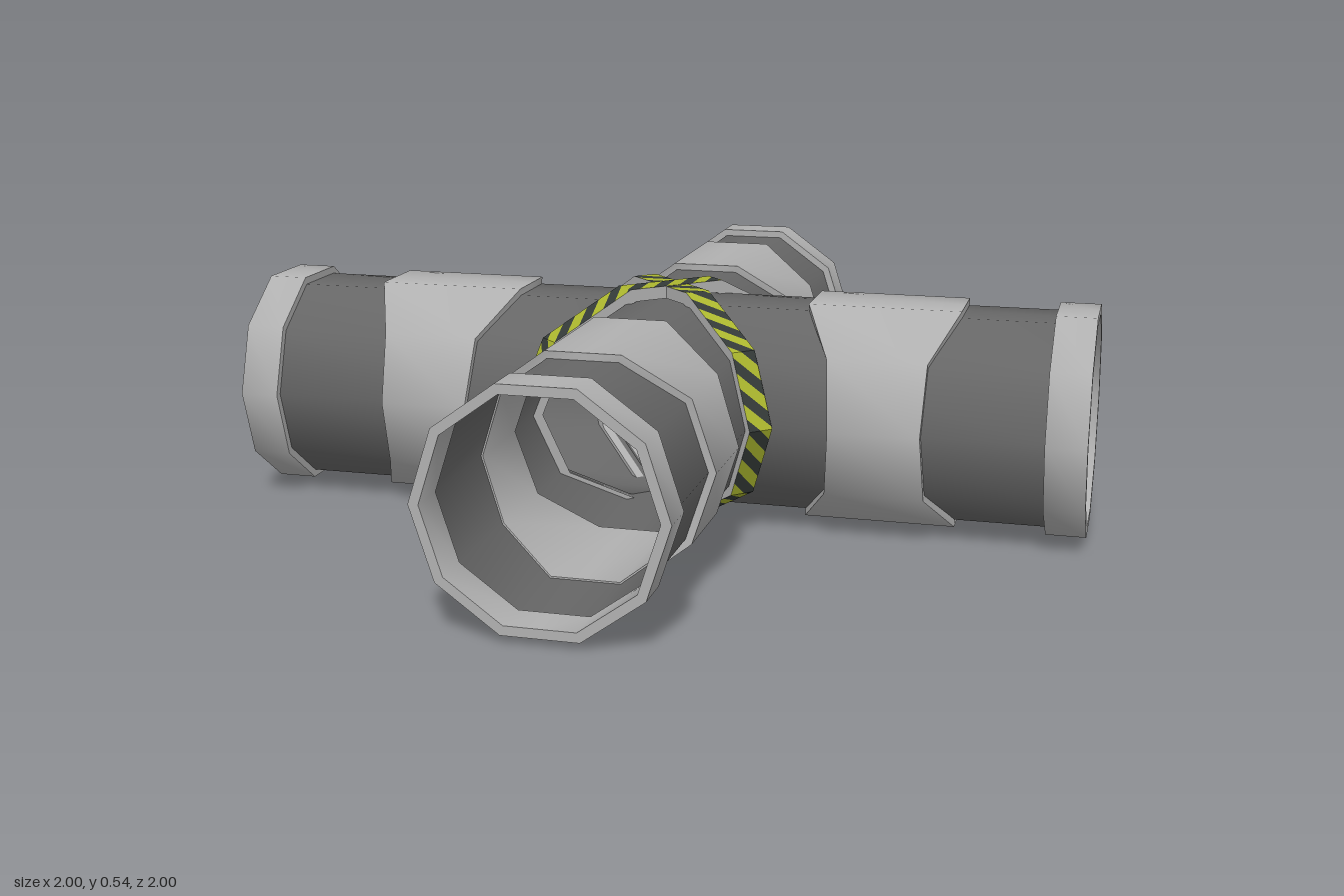
import * as THREE from 'three';
import { mergeGeometries } from 'three/addons/utils/BufferGeometryUtils.js';

const CENTER = 0.27; // height of the pipe axis
const TUBE_R = 0.25;
const BAND_R = 0.284;
const BAND_HALF = 0.03;

// Decagon angles, plus the middle of the flat top and bottom
const ANGLES = [];
for (let i = 0; i < 10; i++) {
  ANGLES.push(i * 36);
  if (i === 2 || i === 7) ANGLES.push(i * 36 + 18);
}

// Point of a ten-sided outline at an angle in degrees
function outline(deg, r) {
  const a = THREE.MathUtils.degToRad(deg);
  const scale = deg % 36 ? Math.cos(Math.PI / 10) : 1;
  return [Math.cos(a) * r * scale, Math.sin(a) * r * scale];
}

const loop = (r, zAt) => ANGLES.map((deg) => {
  const [x, y] = outline(deg, r);
  return new THREE.Vector3(x, y, zAt(deg, x));
});

// Closed strip of faces between two loops, smooth around
function strip(a, b) {
  const n = a.length;
  const index = [];
  for (let i = 0; i < n; i++) {
    const j = (i + 1) % n;
    index.push(i, j, n + j, i, n + j, n + i);
  }
  const geo = new THREE.BufferGeometry().setFromPoints([...a, ...b]);
  geo.setIndex(index);
  geo.computeVertexNormals();
  return geo;
}

// Thick ring from four loops: outer, far end, inner, near end
function thickRing(rIn, rOut, near, far) {
  const on = loop(rOut, near), of = loop(rOut, far);
  const inn = loop(rIn, near), inf = loop(rIn, far);
  return mergeGeometries([strip(on, of), strip(of, inf), strip(inf, inn), strip(inn, on)]);
}

// Pick a length by how close the angle is to the flat top or bottom
function byHeight(side, shoulder, top) {
  return (deg) => {
    const s = Math.abs(Math.sin(THREE.MathUtils.degToRad(deg)));
    return s > 0.9 ? top : s > 0.5 ? shoulder : side;
  };
}

// Keep the part of a polygon of [s, v] points where sign * (s - limit) >= 0
function clip(poly, limit, sign) {
  const out = [];
  poly.forEach((p, i) => {
    const q = poly[(i + 1) % poly.length];
    const dp = sign * (p[0] - limit), dq = sign * (q[0] - limit);
    if (dp >= 0) out.push(p);
    if (dp * dq < 0) {
      const t = dp / (dp - dq);
      out.push([p[0] + (q[0] - p[0]) * t, p[1] + (q[1] - p[1]) * t]);
    }
  });
  return out;
}

// Hazard band over one diagonal seam
function makeBand(sign, lift, mats) {
  const band = new THREE.Group();
  const d = new THREE.Vector3(1, 0, sign).normalize();
  const n = new THREE.Vector3(-d.z, 0, d.x);
  const ring = (r, v) => ANGLES.map((deg) => {
    const [x, y] = outline(deg, r);
    return d.clone().multiplyScalar(x * Math.SQRT2).addScaledVector(n, v).setY(y);
  });
  const r = BAND_R + lift;
  const outer = ring(r, 0);
  const count = outer.length;
  const lengths = outer.map((p, i) => p.distanceTo(outer[(i + 1) % count]));
  const total = lengths.reduce((a, b) => a + b, 0);
  const stripes = 60;
  const h = total / stripes, w = BAND_HALF;

  // Slanted stripes, cut at each fold of the band
  const points = [[], []];
  let s0 = 0;
  lengths.forEach((len, i) => {
    const p = outer[i], q = outer[(i + 1) % count];
    const place = ([s, v]) => p.clone().lerp(q, (s - s0) / len).addScaledVector(n, v);
    for (let k = -4; k < stripes + 4; k++) {
      let poly = [[k * h - w, -w], [(k + 1) * h - w, -w], [(k + 1) * h + w, w], [k * h + w, w]];
      poly = clip(clip(poly, s0, 1), s0 + len, -1);
      for (let j = 1; j < poly.length - 1; j++) {
        points[k & 1].push(place(poly[0]), place(poly[j]), place(poly[j + 1]));
      }
    }
    s0 += len;
  });
  ['yellowStripes', 'blackStripes'].forEach((name, i) => {
    const geo = new THREE.BufferGeometry().setFromPoints(points[i]);
    geo.computeVertexNormals();
    add(band, name, geo, i ? mats.black : mats.yellow);
  });

  // Plain sides and underside
  const inner = TUBE_R + 0.004;
  add(band, 'bandSides', mergeGeometries([
    strip(ring(r, w), ring(inner, w)),
    strip(ring(inner, w), ring(inner, -w)),
    strip(ring(inner, -w), ring(r, -w)),
  ]), mats.light);
  return band;
}

function add(parent, name, geo, mat) {
  const mesh = new THREE.Mesh(geo, mat);
  mesh.name = name;
  parent.add(mesh);
}

export function createModel() {
  const material = (name, color, side = THREE.FrontSide) => {
    const m = new THREE.MeshStandardMaterial({ color, side });
    m.name = name;
    return m;
  };
  const mats = {
    dark: material('darkGrey', 0x666666, THREE.DoubleSide),
    light: material('lightGrey', 0xb0b0b0),
    yellow: material('hazardYellow', 0xabb62e),
    black: material('hazardBlack', 0x343a38),
  };
  const model = new THREE.Group();
  model.name = 'pipeCrossing';

  // One arm along +z: tube mitred at the crossing, sleeve and end collar
  const tube = strip(loop(TUBE_R, (deg, x) => Math.abs(x)), loop(TUBE_R, () => 0.95));
  const sleeve = thickRing(0.246, 0.267, byHeight(0.43, 0.417, 0.35), byHeight(0.637, 0.643, 0.7));
  const collar = thickRing(0.246, 0.268, () => 0.908, () => 1);
  for (let i = 0; i < 4; i++) {
    const arm = new THREE.Group();
    arm.name = 'arm' + (i + 1);
    add(arm, 'tube', tube, mats.dark);
    add(arm, 'sleeve', sleeve, mats.light);
    add(arm, 'endCollar', collar, mats.light);
    arm.rotation.y = i * Math.PI / 2;
    arm.position.y = CENTER;
    model.add(arm);
  }

  // Two crossing hazard bands, one a hair larger so they do not coincide
  [[1, 0], [-1, 0.001]].forEach(([sign, lift], i) => {
    const band = makeBand(sign, lift, mats);
    band.name = 'hazardBand' + (i + 1);
    band.position.y = CENTER;
    model.add(band);
  });
  return model;
}
